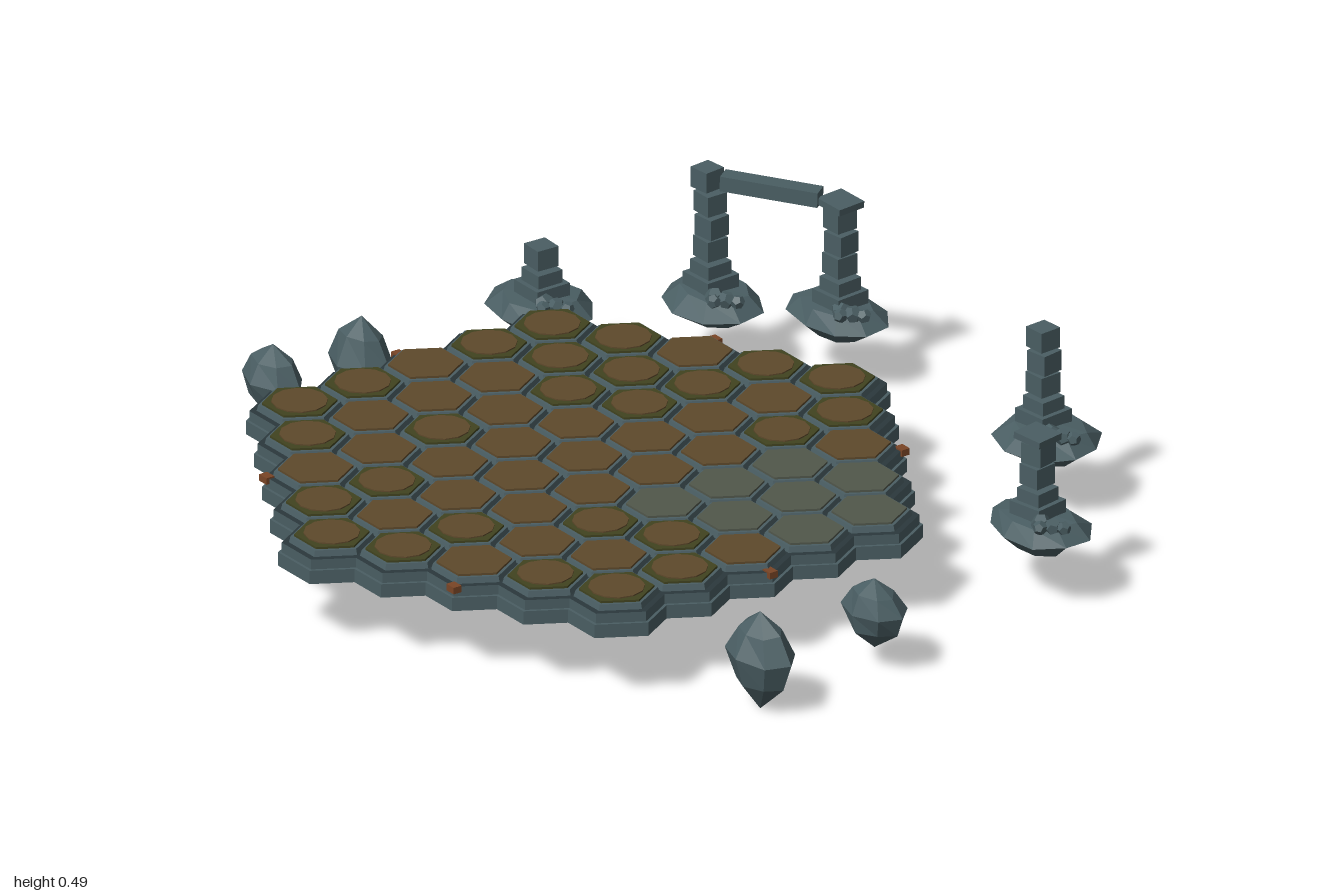
import * as THREE from 'three';

const mat = (name, color) => {
  const m = new THREE.MeshStandardMaterial({ color, flatShading: true });
  m.name = name;
  return m;
};

export function createModel() {
  const root = new THREE.Group();
  root.name = 'hexBoardWithRuins';
  const slate = mat('slate stone', 0x4a5e63);
  const groove = mat('dark groove', 0x2b383c);
  const earth = mat('brown earth', 0x5e492b);
  const moss = mat('olive moss', 0x41431f);
  const paving = mat('grey paving', 0x51574b);
  const rust = mat('rust', 0x7a4526);

  const add = (parent, name, geo, material, x, y, z) => {
    const m = new THREE.Mesh(geo, material);
    m.name = name;
    m.position.set(x, y, z);
    parent.add(m);
    return m;
  };

  // Hexagonal prism from y0 to y1 with corners on the x axis
  const hex = (r, y0, y1, rTop = r) =>
    new THREE.CylinderGeometry(rTop, r, y1 - y0, 6, 1, false, Math.PI / 6).translate(0, (y0 + y1) / 2, 0);

  // Board: one string per column, back to front (m mossy, e earth, g paving)
  const columns = ['mmemm', 'mmeeem', 'emmemee', 'mmmeeemm', 'meeeeeeem', 'mmeeeemm', 'egggmee', 'gggmem', 'ggemm'];
  const stepX = 0.1515, stepZ = 0.1748, midZ = 0.137;
  const baseGeo = hex(0.121, 0.165, 0.198);
  const ledgeGeo = hex(0.113, 0.198, 0.222);
  const rimGeo = hex(0.097, 0.222, 0.236, 0.093);
  const tileGeo = hex(0.085, 0.235, 0.241);
  const discGeo = new THREE.CylinderGeometry(0.064, 0.064, 0.004, 12).translate(0, 0.242, 0);
  const board = new THREE.Group();
  board.name = 'board';
  root.add(board);
  columns.forEach((col, i) => {
    [...col].forEach((kind, j) => {
      const cell = new THREE.Group();
      cell.name = 'hexCell';
      cell.position.set((i - 4) * stepX, 0, midZ + (j - (col.length - 1) / 2) * stepZ);
      board.add(cell);
      add(cell, 'cellBase', baseGeo, slate, 0, 0, 0);
      add(cell, 'cellLedge', ledgeGeo, [slate, groove, groove], 0, 0, 0);
      add(cell, 'cellRim', rimGeo, slate, 0, 0, 0);
      add(cell, 'cellTile', tileGeo, { m: moss, e: earth, g: paving }[kind], 0, 0, 0);
      if (kind === 'm') add(cell, 'earthDisc', discGeo, earth, 0, 0, 0);
    });
  });

  // Small rust studs on the outer edge
  const studGeo = new THREE.BoxGeometry(0.028, 0.016, 0.022);
  for (const s of [-1, 1]) {
    add(board, 'edgeStud', studGeo, rust, s * 0.71, 0.218, midZ);
    for (const t of [-1, 1]) add(board, 'edgeStud', studGeo, rust, s * 0.358, 0.218, midZ + t * 0.62);
  }

  // Faceted rock: a lathed profile whose points are nudged by a position hash
  const rock = (profile, sides, seed, jitter) => {
    const g = new THREE.LatheGeometry(profile.map(([r, y]) => new THREE.Vector2(r, y)), sides);
    const p = g.attributes.position;
    const hash = (x, y, z, k) => {
      const v = Math.sin(Math.round(x * 50) * 12.9 + Math.round(y * 50) * 78.2 + Math.round(z * 50) * 37.7 + seed * 5.3 + k) * 43758.5;
      return v - Math.floor(v) - 0.5;
    };
    for (let i = 0; i < p.count; i++) {
      const x = p.getX(i), y = p.getY(i), z = p.getZ(i);
      if (Math.hypot(x, z) < 0.01) continue;
      const k = 1 + hash(x, y, z, 1) * jitter;
      p.setXYZ(i, x * k, y + hash(x, y, z, 2) * jitter * 0.5, z * k);
    }
    return g;
  };
  const islandProfile = [[0, -1], [0.55, -0.7], [1, 0.1], [0.68, 0.85], [0, 1]];
  const boulderProfile = [[0, -1], [0.75, -0.42], [1, 0.12], [0.65, 0.62], [0, 1]];

  // Ruined pillars on floating islands
  // island x, z, half sizes, pillar x, z, block count, cap, turn
  const ruins = [
    [-0.395, -0.853, 0.14, 0.1, -0.385, -0.85, 3, true, 0.1],
    [-0.622, -0.667, 0.13, 0.11, -0.627, -0.667, 4, false, 0.05],
    [-0.818, -0.337, 0.14, 0.12, -0.812, -0.333, 1, false, 0],
    [0.406, -0.853, 0.14, 0.115, 0.392, -0.85, 3, false, 0.12],
    [0.777, -0.557, 0.14, 0.107, 0.777, -0.555, 2, true, 0.2],
  ];
  ruins.forEach(([ix, iz, sx, sz, px, pz, count, cap, turn], n) => {
    const ruin = new THREE.Group();
    ruin.name = 'ruin';
    root.add(ruin);
    add(ruin, 'floatingIsland', rock(islandProfile, 9, n + 1, 0.22), slate, ix, 0.162, iz).scale.set(sx, 0.047, sz);
    add(ruin, 'plinth', new THREE.BoxGeometry(0.09, 0.045, 0.09), slate, px, 0.213, pz).rotation.y = turn;
    add(ruin, 'pillarFoot', new THREE.BoxGeometry(0.066, 0.034, 0.066), slate, px, 0.25, pz).rotation.y = turn;
    for (let i = 0; i < count; i++) {
      const drift = i === 3 ? -0.014 : (i % 2 ? 0.003 : -0.002);
      const w = 0.056 - i * 0.001;
      add(ruin, 'pillarBlock', new THREE.BoxGeometry(w, 0.049, w), slate, px + drift, 0.3 + i * 0.0555, pz)
        .rotation.y = turn + (i % 2 ? 0.06 : -0.04);
    }
    if (cap) {
      const c = add(ruin, 'pillarCap', new THREE.BoxGeometry(0.078, 0.016, 0.074), slate, px, 0.283 + count * 0.0555, pz);
      c.rotation.set(0, turn, -0.06);
    }
    // Rubble beside the pillar
    [[0.058, 0.035, 0.024], [0.085, 0.022, 0.021], [0.108, 0.008, 0.017], [0.075, 0.05, 0.017]].forEach(([dx, dz, r], k) => {
      add(ruin, 'rubble', new THREE.DodecahedronGeometry(r), slate, ix + dx, 0.207, iz + dz).rotation.set(k, n, k * 2);
    });
  });

  // Fallen lintel between the two tallest pillars
  const a = new THREE.Vector3(-0.607, 0.466, -0.685), b = new THREE.Vector3(-0.42, 0.458, -0.82);
  const lintel = add(root, 'lintel', new THREE.BoxGeometry(0.042, 0.036, a.distanceTo(b)), slate, 0, 0, 0);
  lintel.position.copy(a).lerp(b, 0.5);
  lintel.lookAt(b);

  // Floating boulders at the sides: x, y, z, half sizes
  [
    [-0.875, 0.13, 0.12, 0.09, 0.12, 0.065],
    [-0.91, 0.132, 0.34, 0.09, 0.095, 0.06],
    [0.878, 0.138, -0.03, 0.092, 0.085, 0.066],
    [0.904, 0.123, 0.305, 0.096, 0.12, 0.066],
  ].forEach(([x, y, z, sx, sy, sz], n) => {
    add(root, 'boulder', rock(boulderProfile, 7, n + 11, 0.16), slate, x, y, z).scale.set(sx, sy, sz);
  });

  return root;
}
